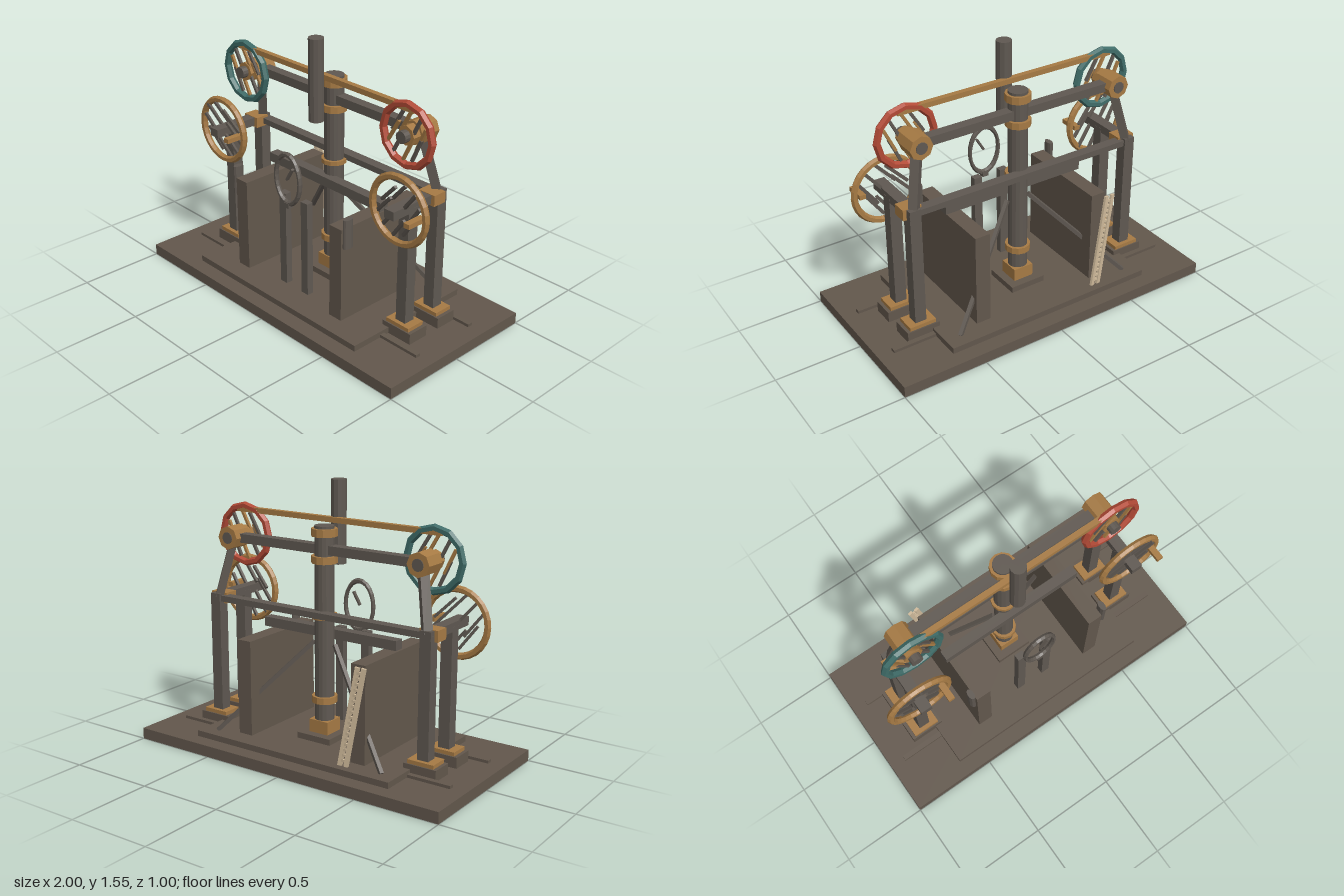
import * as THREE from 'three';

const mat = (name, color) => {
  const m = new THREE.MeshStandardMaterial({ color, flatShading: true });
  m.name = name;
  return m;
};

export function createModel() {
  const root = new THREE.Group();
  root.name = 'beamEngine';
  const stone = mat('brown stone', 0x62574c);
  const iron = mat('dark iron', 0x5f5851);
  const brass = mat('brass', 0xa67a44);
  const teal = mat('teal paint', 0x3f6c68);
  const red = mat('red paint', 0xb24a36);
  const wood = mat('pale wood', 0xcdb899);

  const add = (name, geo, m, x = 0, y = 0, z = 0, parent = root) => {
    const mesh = new THREE.Mesh(geo, m);
    mesh.name = name;
    mesh.position.set(x, y, z);
    parent.add(mesh);
    return mesh;
  };
  // Box given by its limits on each axis
  const box = (name, m, x0, x1, y0, y1, z0, z1, parent = root) =>
    add(name, new THREE.BoxGeometry(x1 - x0, y1 - y0, z1 - z0), m,
      (x0 + x1) / 2, (y0 + y1) / 2, (z0 + z1) / 2, parent);
  // Upright cylinder from y0 to y1
  const drum = (name, m, r, x, y0, y1, z, sides = 12) =>
    add(name, new THREE.CylinderGeometry(r, r, y1 - y0, sides), m, x, (y0 + y1) / 2, z);
  // Cylinder along z
  const axle = (name, m, r, z0, z1, sides, parent) => {
    const g = new THREE.CylinderGeometry(r, r, z1 - z0, sides).rotateX(Math.PI / 2);
    return add(name, g, m, 0, 0, (z0 + z1) / 2, parent);
  };
  // Square bar between two points
  const bar = (name, m, a, b, w, d = w, parent = root) => {
    const p = new THREE.Vector3(...a), q = new THREE.Vector3(...b);
    const mesh = add(name, new THREE.BoxGeometry(w, d, p.distanceTo(q)), m, 0, 0, 0, parent);
    mesh.position.copy(p).add(q).multiplyScalar(0.5);
    mesh.lookAt(q);
    return mesh;
  };
  // Rim with eight spokes
  const wheel = (name, x, y, z, r, tube, sides, rim, spokeMat) => {
    const g = new THREE.Group();
    g.name = name;
    g.position.set(x, y, z);
    root.add(g);
    add('rim', new THREE.TorusGeometry(r - tube, tube, 6, sides), rim, 0, 0, 0, g);
    for (let i = 0; i < 8; i++) {
      const a = i * Math.PI / 4, c = Math.cos(a), s = Math.sin(a);
      bar('spoke', spokeMat(i), [0.02 * c, 0.02 * s, 0], [(r - tube) * c, (r - tube) * s, 0], 0.016, 0.016, g);
    }
    return g;
  };

  // Base and plinth
  box('base', stone, -1, 1, 0, 0.065, -0.5, 0.5);
  box('plinth', stone, -0.65, 0.65, 0.065, 0.1, -0.41, 0.41);

  for (const s of [-1, 1]) {
    const X = 0.705 * s;
    // Floor strips
    for (const z of [-0.213, 0.203])
      box('floorStrip', stone, 0.78 * s - 0.13, 0.78 * s + 0.13, 0.065, 0.082, z - 0.015, z + 0.015);

    // Posts on stepped feet
    for (const z of [-0.131, 0.09]) {
      box('foot', stone, X - 0.1, X + 0.1, 0.065, 0.128, z - 0.065, z + 0.065);
      box('footPlate', brass, X - 0.08, X + 0.08, 0.128, 0.15, z - 0.057, z + 0.057);
      box('post', iron, X - 0.034, X + 0.034, 0.15, 0.83, z - 0.033, z + 0.033);
    }
    box('shaftBeam', iron, X - 0.033, X + 0.033, 0.805, 0.855, -0.165, 0.235);
    box('bearing', brass, X - 0.055, X + 0.055, 0.795, 0.858, -0.13, -0.045);

    // Lower flywheel with crank pin
    const low = wheel('flywheel', X, 0.83, 0.162, 0.205, 0.02, 28, brass, () => iron);
    box('crankPin', brass, 0.125, 0.162, -0.012, 0.015, -0.02, 0.1, low);

    // Upper wheel with hub and axle
    const top = wheel('upperWheel', 0.632 * s, 1.183, 0.036, 0.19, 0.022, 12,
      s < 0 ? teal : red, (i) => (i % 2 ? iron : brass));
    axle('hub', brass, 0.068, -0.165, -0.04, 8, top);
    axle('innerHub', brass, 0.055, -0.045, 0.012, 8, top);
    axle('axle', iron, 0.034, -0.17, 0.05, 12, top);

    // Connecting rod from beam end to back post
    bar('connectingRod', iron, [0.632 * s, 1.16, -0.075], [0.7 * s, 0.83, -0.135], 0.05, 0.045);

    // Pier walls, braces and hanging weights
    box('pier', stone, 0.385 * s - 0.045, 0.385 * s + 0.045, 0.1, 0.655, -0.297, 0.298);
    bar('brace', iron, [0.56 * s, 0.1, -0.335], [0.07 * s, 0.65, -0.06], 0.022);
    drum('weight', iron, 0.033, 0.448 * s, 0.55, 0.72, 0.267, 10).scale.x = 0.55;
    box('guidePost', iron, 0.088 * s - 0.026, 0.088 * s + 0.026, 0.1, 0.67, 0.21, 0.25);
  }

  // Long beams
  box('tieBeam', iron, -0.7, 0.7, 0.81, 0.845, -0.155, -0.095);
  box('walkingBeam', iron, -0.61, 0.61, 1.157, 1.208, -0.09, -0.03);
  box('topRod', brass, -0.68, 0.68, 1.315, 1.345, 0.018, 0.05);
  box('crossBar', iron, -0.448, 0.448, 0.673, 0.728, -0.03, 0.03);

  // Central column with brass collars
  box('columnBase', stone, -0.11, 0.11, 0.1, 0.135, -0.17, 0.05);
  box('columnSocket', brass, -0.062, 0.062, 0.135, 0.21, -0.122, 0.002);
  drum('column', iron, 0.056, 0, 0.2, 1.313, -0.06, 16);
  for (const [y0, y1] of [[0.31, 0.348], [0.795, 0.82], [1.107, 1.147], [1.255, 1.298]])
    drum('collar', brass, 0.073, 0, y0, y1, -0.06, 12);

  // Raised piston cylinder
  drum('piston', iron, 0.044, 0, 1.08, 1.55, 0.074, 12);

  // Oval gauge ring with pointer and stem
  const ring = add('gaugeRing', new THREE.TorusGeometry(0.145, 0.016, 6, 24), iron, 0, 0.795, 0.284);
  ring.scale.set(0.66, 1, 1);
  bar('gaugePointer', iron, [0, 0.795, 0.29], [0.045, 0.87, 0.29], 0.018, 0.012);
  box('gaugeStem', iron, -0.02, 0.02, 0.625, 0.655, 0.268, 0.3);

  // Leaning ladder
  const ladder = new THREE.Group();
  ladder.name = 'ladder';
  root.add(ladder);
  const at = (t, off) => [-0.335 - 0.095 * t + off, 0.1 + 0.555 * t, -0.362 + 0.022 * t];
  for (const off of [-0.02, 0.02])
    bar('ladderRail', wood, at(0, off), at(1, off), 0.014, 0.026, ladder);
  for (let i = 1; i < 18; i++)
    bar('ladderRung', wood, at(i / 18, -0.02), at(i / 18, 0.02), 0.012, 0.014, ladder);

  return root;
}
